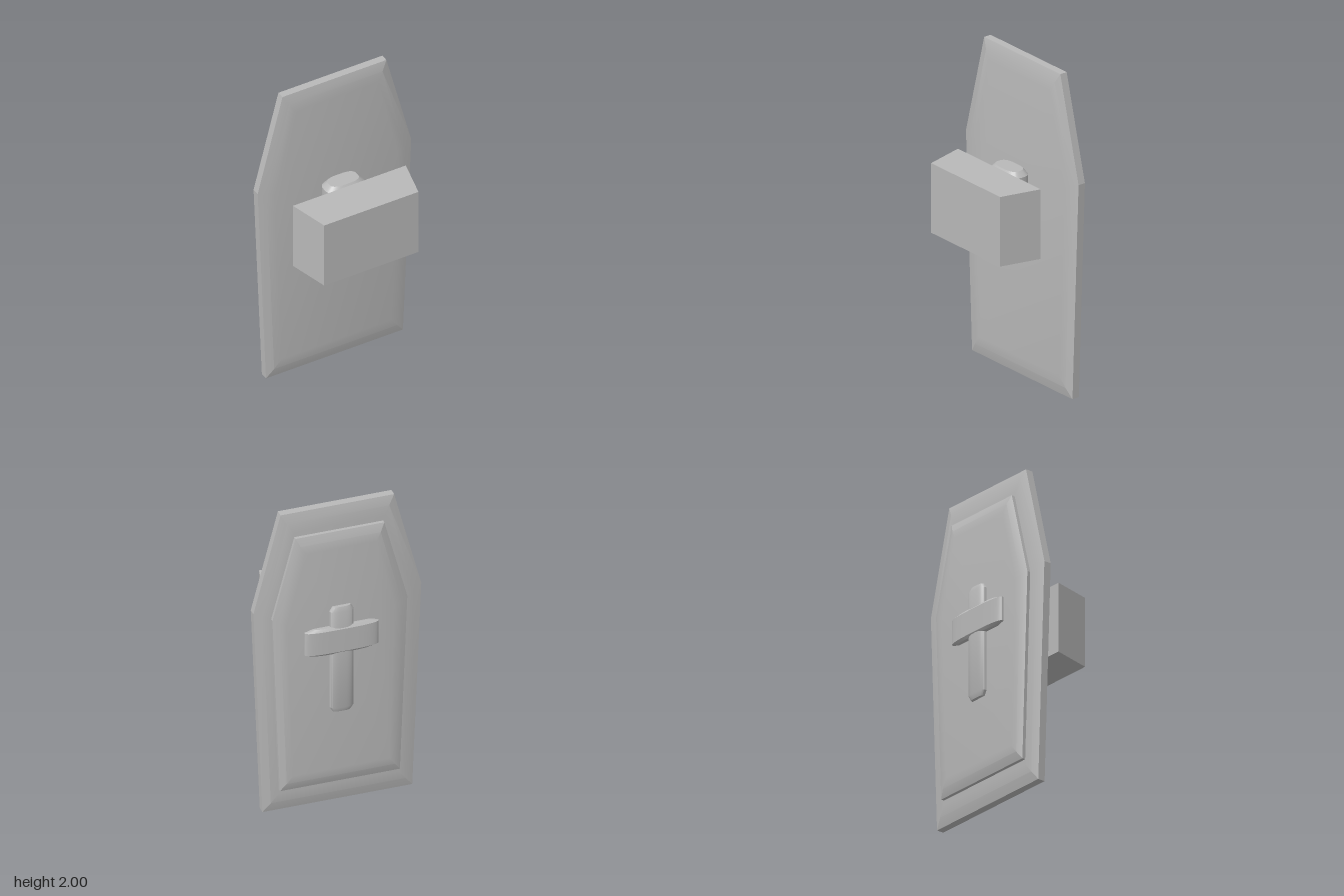
import * as THREE from 'three';
import { toCreasedNormals } from 'three/addons/utils/BufferGeometryUtils.js';

// Closed solid through scaled copies of a counter-clockwise outline; layers are [scaleX, scaleY, z], z rising
function loft(outline, layers, crease) {
  const n = outline.length, pos = [], idx = [];
  for (const [sx, sy, z] of layers) for (const [x, y] of outline) pos.push(x * sx, y * sy, z);
  for (let l = 0; l < layers.length - 1; l++) {
    for (let i = 0; i < n; i++) {
      const a = l * n + i, b = l * n + (i + 1) % n;
      idx.push(a, b, b + n, a, b + n, a + n);
    }
  }
  const top = (layers.length - 1) * n;
  for (let i = 1; i < n - 1; i++) idx.push(0, i + 1, i, top, top + i, top + i + 1);
  const g = new THREE.BufferGeometry();
  g.setAttribute('position', new THREE.Float32BufferAttribute(pos, 3));
  g.setIndex(idx);
  return toCreasedNormals(g, crease);
}

// Six-sided coffin outline centred on its own mid height
function coffin(topW, midW, botW, halfH, midY) {
  return [[-botW, -halfH], [botW, -halfH], [midW, midY], [topW, halfH], [-topW, halfH], [-midW, midY]];
}

// Upright bar with a rounded section and chamfered ends
function bar(w, h, d, chamfer) {
  const section = [];
  for (let i = 0; i < 40; i++) {
    const t = (i / 40) * Math.PI * 2, c = Math.cos(t), s = Math.sin(t);
    const p = 2 / 3;
    section.push([Math.sign(c) * Math.abs(c) ** p * w / 2, Math.sign(s) * Math.abs(s) ** p * d / 2]);
  }
  const e = h / 2;
  return loft(section, [[0.76, 0.7, -e], [1, 1, -e + chamfer], [1, 1, e - chamfer], [0.76, 0.7, e]], 0.5)
    .rotateX(-Math.PI / 2);
}

export function createModel() {
  const group = new THREE.Group();
  const grey = new THREE.MeshStandardMaterial({ color: 0xb8b8b8 });
  grey.name = 'plain grey';
  const add = (name, geometry, x, y, z) => {
    const mesh = new THREE.Mesh(geometry, grey);
    mesh.name = name;
    mesh.position.set(x, y, z);
    group.add(mesh);
  };

  // Main slab, slightly pillowed on both faces
  add('coffinBody', loft(coffin(0.345, 0.51, 0.455, 1, 0.36), [
    [0.8, 0.88, -0.205], [0.9, 0.94, -0.197], [1, 1, -0.182],
    [1, 1, -0.135], [0.9, 0.94, -0.12], [0.8, 0.88, -0.112],
  ], 0.28), 0, 1, 0);

  // Raised lid on the back
  add('lid', loft(coffin(0.27, 0.41, 0.365, 0.85, 0.32), [
    [0.8, 0.88, -0.25], [0.9, 0.94, -0.243], [1, 1, -0.226], [1, 1, -0.19],
  ], 0.28), 0, 1, 0);

  // Cross on the lid
  add('crossUpright', bar(0.145, 0.71, 0.07, 0.03), 0, 1.005, -0.247);
  add('crossArm', bar(0.45, 0.18, 0.07, 0.015), 0, 1.14, -0.251);

  // Grip and tapered block on the front
  add('grip', bar(0.25, 0.435, 0.147, 0.03), 0, 1.118, -0.038);
  add('block', loft([[-1, -1], [1, -1], [1, 1], [-1, 1]],
    [[0.375, 0.218, 0.035], [0.313, 0.218, 0.285]], 0.1), 0, 1.118, 0);

  return group;
}
